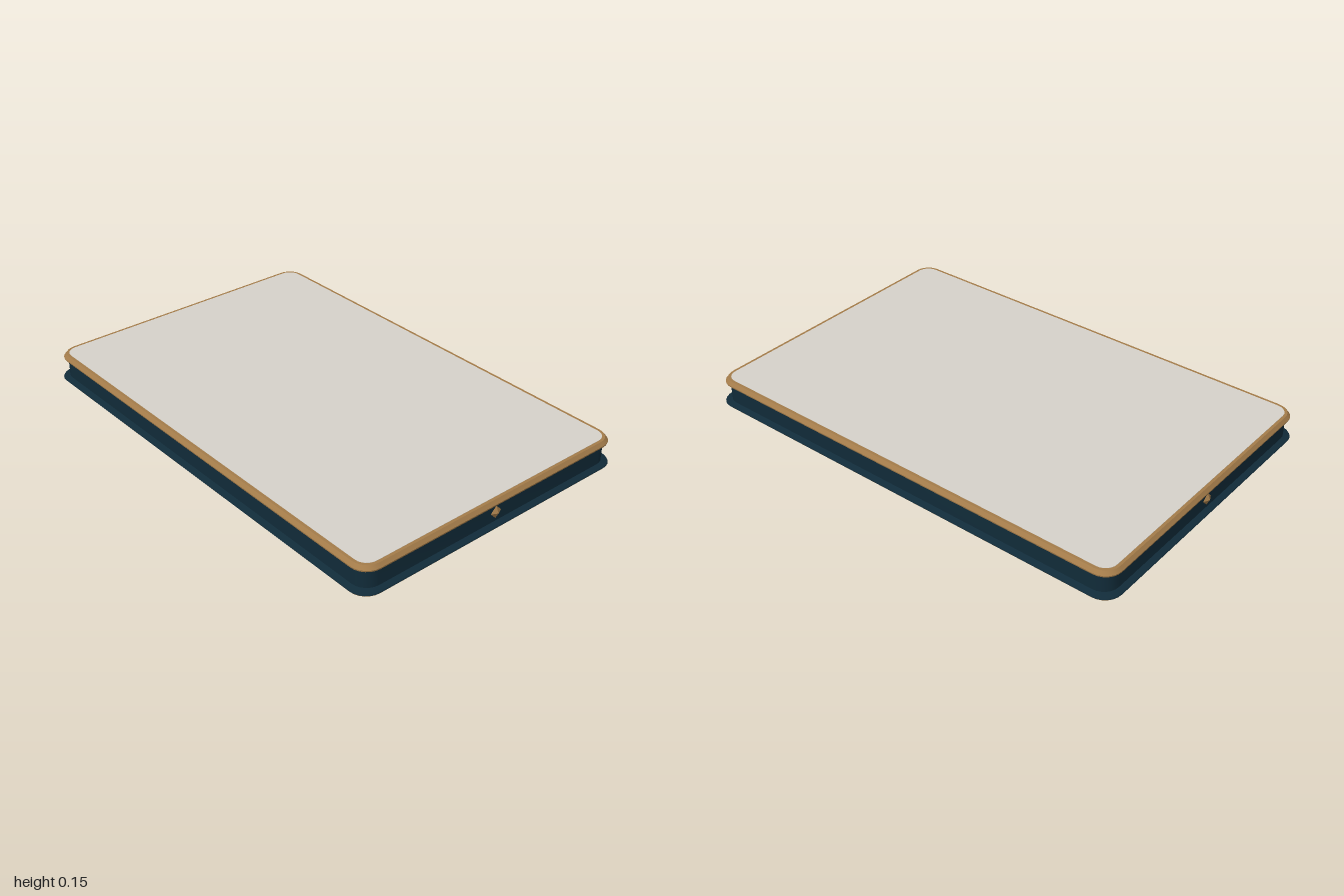
import * as THREE from 'three';
import { toCreasedNormals } from 'three/addons/utils/BufferGeometryUtils.js';

const EXTRA_DEPTH = 0.343; // half depth minus half width
const CORNER_STEPS = 6;

// Rounded rectangle outline at height y, given half width and corner radius
function ring([half, y, radius]) {
  const points = [];
  const cx = half - radius;
  const cz = half + EXTRA_DEPTH - radius;
  const signs = [[1, 1], [-1, 1], [-1, -1], [1, -1]];
  signs.forEach(([sx, sz], corner) => {
    for (let i = 0; i <= CORNER_STEPS; i++) {
      const a = (corner + i / CORNER_STEPS) * Math.PI / 2;
      points.push([sx * cx + radius * Math.cos(a), y, sz * cz + radius * Math.sin(a)]);
    }
  });
  return points;
}

// Skin through stacked outlines, listed from bottom to top, with optional caps
function loft(sections, capBottom = false, capTop = false) {
  const rings = sections.map(ring);
  const n = rings[0].length;
  const pos = [];
  for (let k = 0; k < rings.length - 1; k++) {
    const lo = rings[k], hi = rings[k + 1];
    for (let i = 0; i < n; i++) {
      const j = (i + 1) % n;
      pos.push(...lo[i], ...hi[i], ...hi[j], ...lo[i], ...hi[j], ...lo[j]);
    }
  }
  const cap = (r, up) => {
    const centre = [0, r[0][1], 0];
    for (let i = 0; i < n; i++) {
      const a = r[i], b = r[(i + 1) % n];
      pos.push(...centre, ...(up ? b : a), ...(up ? a : b));
    }
  };
  if (capBottom) cap(rings[0], false);
  if (capTop) cap(rings[rings.length - 1], true);
  const geometry = new THREE.BufferGeometry();
  geometry.setAttribute('position', new THREE.Float32BufferAttribute(pos, 3));
  return toCreasedNormals(geometry, 0.35);
}

export function createModel() {
  const model = new THREE.Group();
  const material = (name, color) => {
    const m = new THREE.MeshStandardMaterial({ color });
    m.name = name;
    return m;
  };
  const navy = material('dark navy', 0x112b39);
  const brass = material('aged brass', 0xa47c4a);
  const stone = material('pale stone', 0xd6d2ca);

  const add = (name, geometry, mat) => {
    const mesh = new THREE.Mesh(geometry, mat);
    mesh.name = name;
    model.add(mesh);
    return mesh;
  };

  // Recessed foot
  add('foot', loft([[0.59, 0, 0.06], [0.59, 0.018, 0.06]], true), navy);

  // Flared skirt, split by a fine brass edge
  add('skirtUnderside', loft([[0.585, 0.017, 0.06], [0.654, 0.028, 0.073]]), navy);
  add('skirtTrim', loft([[0.654, 0.028, 0.073], [0.657, 0.032, 0.075]]), brass);
  add('skirtTop', loft([[0.657, 0.032, 0.075], [0.655, 0.036, 0.074], [0.634, 0.044, 0.066]]), navy);

  // Straight side walls
  add('walls', loft([[0.634, 0.044, 0.066], [0.634, 0.12, 0.066]]), navy);

  // Bevelled rim around the top
  add('rim', loft([
    [0.632, 0.118, 0.065], [0.648, 0.125, 0.072], [0.649, 0.131, 0.072],
    [0.638, 0.146, 0.065], [0.626, 0.146, 0.052],
  ]), brass);

  // Flat top panel
  add('topPanel', loft([[0.626, 0.142, 0.052], [0.626, 0.147, 0.052]], false, true), stone);

  // Diamond studs on both ends
  for (const side of [1, -1]) {
    const stud = add(side > 0 ? 'frontStud' : 'backStud', new THREE.OctahedronGeometry(0.027), brass);
    stud.scale.z = 0.5;
    stud.position.set(0, 0.083, side * 0.977);
  }
  return model;
}
